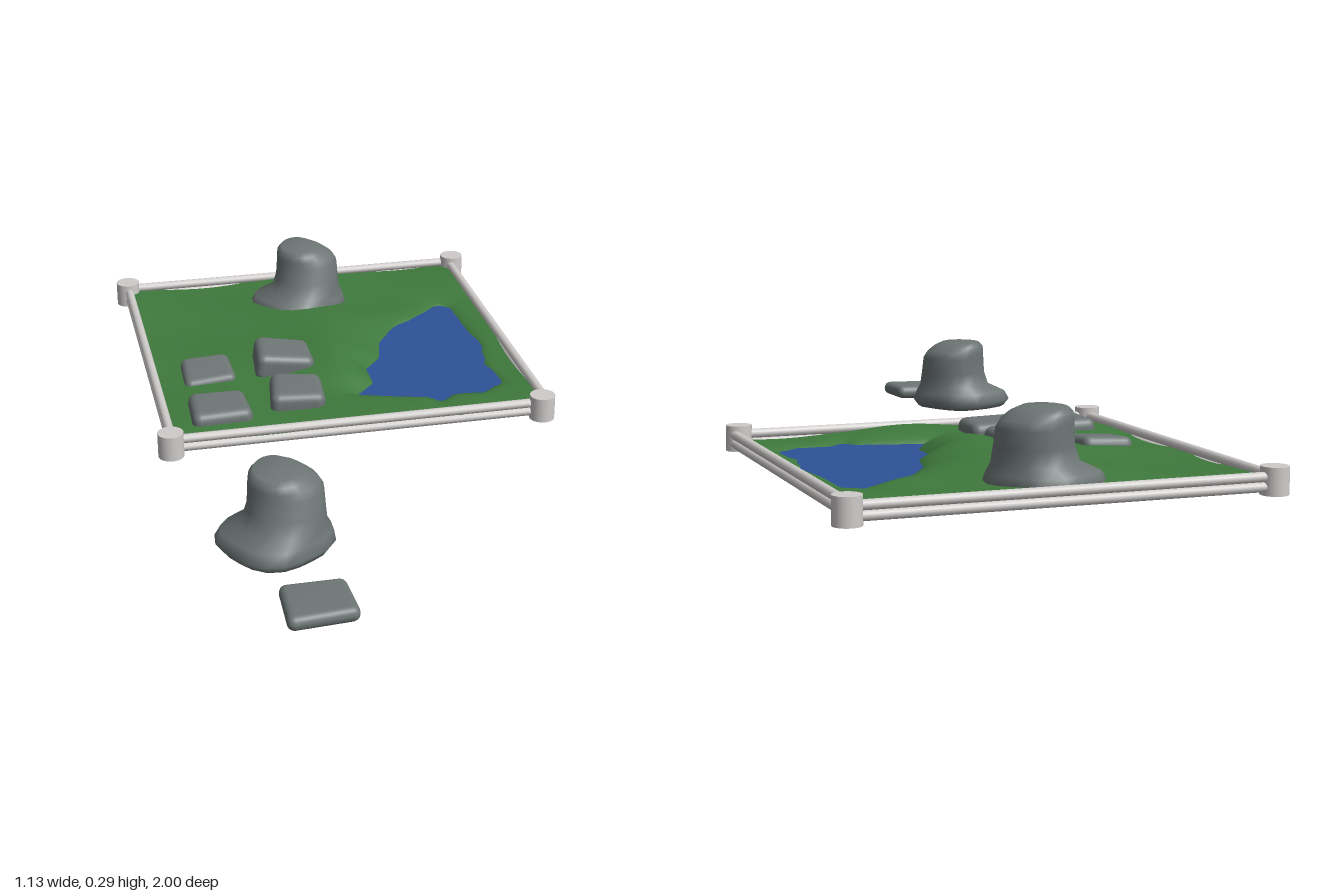
import * as THREE from 'three';
import { mergeVertices } from 'three/addons/utils/BufferGeometryUtils.js';
import { RoundedBoxGeometry } from 'three/addons/geometries/RoundedBoxGeometry.js';

const mat = (name, color, side = THREE.FrontSide) => {
  const m = new THREE.MeshStandardMaterial({ color, side });
  m.name = name;
  return m;
};

// Shoreline of the pond as x, z pairs
const SHORE = [
  [0.4, -0.68], [0.435, -0.66], [0.44, -0.53], [0.455, -0.37], [0.43, -0.24], [0.445, -0.11],
  [0.375, -0.06], [0.295, -0.07], [0.245, -0.03], [0.22, -0.065], [0.11, -0.09], [0.02, -0.115],
  [0.085, -0.185], [0.085, -0.28], [0.14, -0.345], [0.165, -0.45], [0.235, -0.555], [0.295, -0.59],
];
const WATER_Y = 0.1;

// Signed distance to the shoreline, positive inside the pond
function shoreDistance(x, z) {
  let best = Infinity, inside = false;
  SHORE.forEach(([ax, az], i) => {
    const [bx, bz] = SHORE[(i + 1) % SHORE.length];
    const dx = bx - ax, dz = bz - az;
    const t = THREE.MathUtils.clamp(((x - ax) * dx + (z - az) * dz) / (dx * dx + dz * dz), 0, 1);
    best = Math.min(best, Math.hypot(x - ax - t * dx, z - az - t * dz));
    if ((az > z) !== (bz > z) && x < ax + ((z - az) / dz) * dx) inside = !inside;
  });
  return inside ? best : -best;
}

// Lawn height: gentle hill, small ripples and the pond basin
function groundHeight(x, z) {
  const d = shoreDistance(x, z);
  if (d > 0) return WATER_Y - 0.095 * THREE.MathUtils.smoothstep(d, -0.025, 0.1) + 0.0099 * Math.exp(-d / 0.02);
  const hill = 0.042 * Math.exp(-(((x - 0.01) / 0.15) ** 2) - ((z + 0.36) / 0.36) ** 2);
  const ripple = 0.004 * Math.sin(x * 11 + z * 5) + 0.003 * Math.sin(z * 17 - x * 7);
  return THREE.MathUtils.lerp(WATER_Y, 0.114 + hill + ripple, 1 - Math.exp(d / 0.04));
}

function lawnGeometry() {
  const g = new THREE.PlaneGeometry(1.05, 1.055, 72, 72);
  g.rotateX(-Math.PI / 2).translate(-0.005, 0, -0.4425);
  const p = g.attributes.position;
  for (let i = 0; i < p.count; i++) p.setY(i, groundHeight(p.getX(i), p.getZ(i)));
  g.computeVertexNormals();
  return g;
}

// Boulder rings: y, min x, max x, min z, max z
const RINGS = [
  [0.084, -0.43, -0.26, 0.54, 0.7], [0.092, -0.475, -0.22, 0.495, 0.745],
  [0.112, -0.49, -0.205, 0.48, 0.757], [0.138, -0.475, -0.212, 0.49, 0.743],
  [0.16, -0.432, -0.22, 0.513, 0.728], [0.2, -0.416, -0.223, 0.515, 0.713],
  [0.245, -0.411, -0.225, 0.514, 0.7], [0.265, -0.41, -0.237, 0.516, 0.694],
  [0.282, -0.407, -0.262, 0.522, 0.688], [0.293, -0.395, -0.288, 0.535, 0.672],
];

function boulderGeometry() {
  const sides = 20, pos = [], idx = [];
  RINGS.forEach(([y, x0, x1, z0, z1], r) => {
    for (let s = 0; s < sides; s++) {
      const a = (s / sides) * Math.PI * 2;
      const flare = r < 4 ? 1 + 0.05 * Math.sin(a * 4 + 0.6) : 1 + 0.02 * Math.sin(a * 3);
      pos.push((x0 + x1) / 2 + Math.cos(a) * flare * (x1 - x0) / 2, y,
        (z0 + z1) / 2 + Math.sin(a) * flare * (z1 - z0) / 2);
    }
  });
  for (let r = 0; r < RINGS.length - 1; r++) {
    for (let s = 0; s < sides; s++) {
      const a = r * sides + s, b = r * sides + ((s + 1) % sides);
      idx.push(a, a + sides, b, b, a + sides, b + sides);
    }
  }
  // Caps at bottom and top
  [[0, 0], [RINGS.length - 1, 1]].forEach(([r, top]) => {
    const [y, x0, x1, z0, z1] = RINGS[r], c = pos.length / 3;
    pos.push((x0 + x1) / 2, y + (top ? 0.002 : -0.002), (z0 + z1) / 2);
    for (let s = 0; s < sides; s++) {
      const a = r * sides + s, b = r * sides + ((s + 1) % sides);
      idx.push(...(top ? [c, b, a] : [c, a, b]));
    }
  });
  const g = new THREE.BufferGeometry();
  g.setAttribute('position', new THREE.Float32BufferAttribute(pos, 3));
  g.setIndex(idx);
  g.computeVertexNormals();
  return g;
}

// Worn flat stone: rounded slab with a slightly narrower, skewed outline
function slabGeometry(w, h, d) {
  let g = new RoundedBoxGeometry(w, h, d, 3, Math.min(0.024, h * 0.48));
  g.deleteAttribute('uv');
  g.deleteAttribute('normal');
  g = mergeVertices(g, 1e-4);
  const p = g.attributes.position;
  for (let i = 0; i < p.count; i++) {
    const x = p.getX(i), z = p.getZ(i);
    p.setX(i, x * (1 + 0.5 * z));
    p.setZ(i, z * (1 - 0.5 * x));
  }
  g.computeVertexNormals();
  return g;
}

export function createModel() {
  const grass = mat('grass green', 0x3f7a3d, THREE.DoubleSide);
  const water = mat('water blue', 0x2d5299, THREE.DoubleSide);
  const stone = mat('stone grey', 0x6e7676);
  const fence = mat('fence pale grey', 0xcfcccb);
  const model = new THREE.Group();
  model.name = 'pondGarden';
  const add = (name, geo, material, x = 0, y = 0, z = 0, parent = model) => {
    const m = new THREE.Mesh(geo, material);
    m.name = name;
    m.position.set(x, y, z);
    parent.add(m);
    return m;
  };

  add('lawn', lawnGeometry(), grass);
  add('pondWater', new THREE.PlaneGeometry(0.55, 0.76).rotateX(-Math.PI / 2), water, 0.235, WATER_Y, -0.31);

  // Border of double rails with corner posts
  const border = new THREE.Group();
  border.name = 'border';
  model.add(border);
  for (const y of [0.1, 0.124]) {
    for (const z of [-0.973, 0.08])
      add('railAcross', new THREE.CylinderGeometry(0.0125, 0.0125, 1.05, 12).rotateZ(Math.PI / 2), fence, -0.005, y, z, border);
    for (const x of [-0.528, 0.518])
      add('railAlong', new THREE.CylinderGeometry(0.0125, 0.0125, 1.053, 12).rotateX(Math.PI / 2), fence, x, y, -0.4465, border);
  }
  for (const [x, z] of [[-0.53, -0.967], [0.527, -0.967], [-0.532, 0.085], [0.502, 0.085]])
    add('cornerPost', new THREE.CylinderGeometry(0.035, 0.035, 0.069, 24), fence, x, 0.114, z, border);

  // One boulder on the lawn, one outside
  const boulder = boulderGeometry();
  add('boulderOutside', boulder, stone);
  add('boulderOnLawn', boulder, stone, 0.33, 0, -1.405);

  // Flat stones: x, y, z, width, height, depth, tilt x, turn y, tilt z
  const slabs = [
    [-0.372, 0.113, -0.328, 0.145, 0.045, 0.148, 0.08, 0, 0.06],
    [-0.153, 0.133, -0.328, 0.163, 0.082, 0.152, 0, -0.06, -0.14],
    [-0.377, 0.12, -0.068, 0.163, 0.06, 0.153, 0, 0, 0],
    [-0.153, 0.126, -0.112, 0.148, 0.068, 0.16, 0, -0.12, -0.04],
    [-0.302, 0.105, 0.92, 0.167, 0.04, 0.155, 0, 0, 0.02],
  ];
  for (const [x, y, z, w, h, d, rx, ry, rz] of slabs)
    add('flatStone', slabGeometry(w, h, d), stone, x, y, z).rotation.set(rx, ry, rz);

  return model;
}
